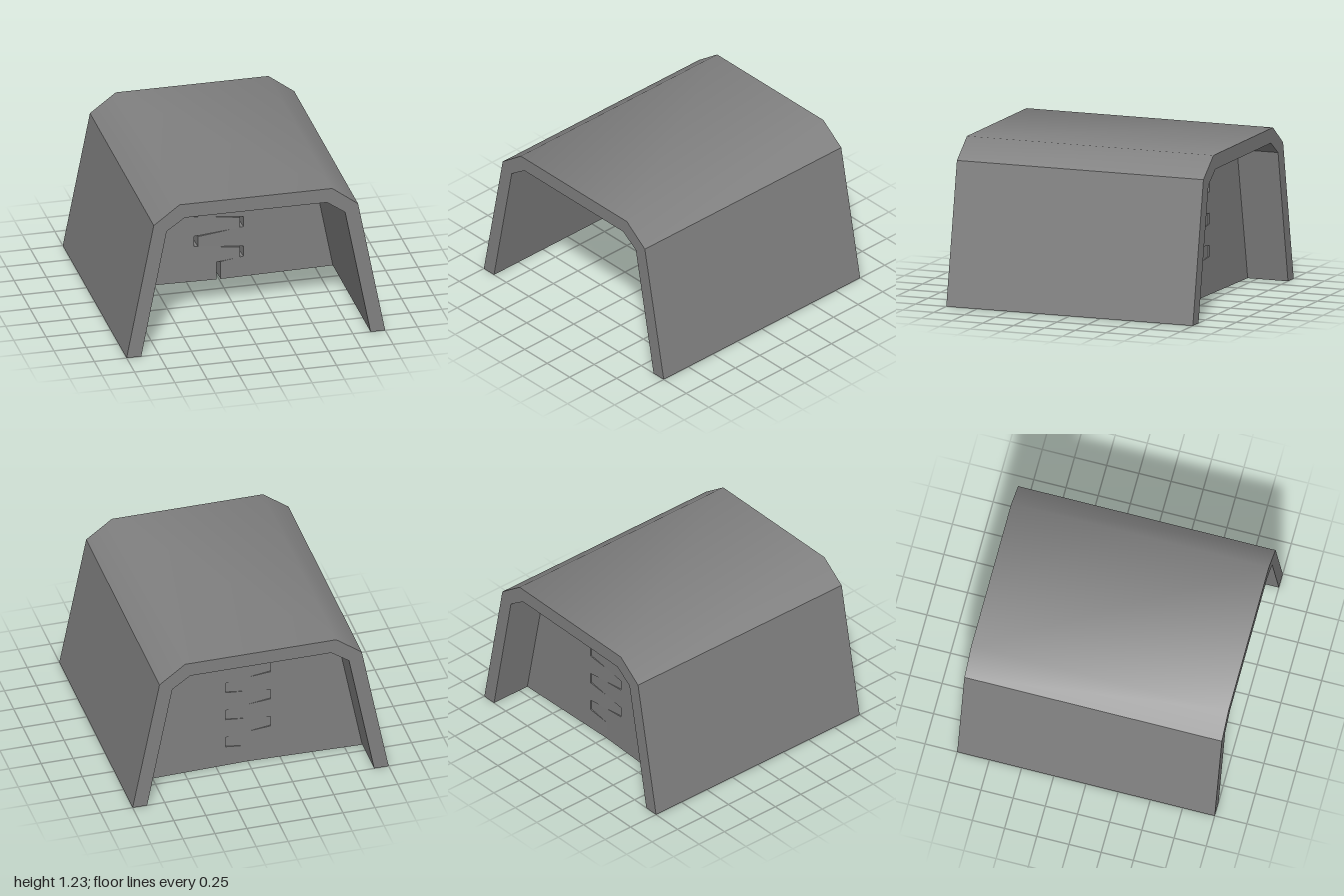
import * as THREE from 'three';
import { toCreasedNormals } from 'three/addons/utils/BufferGeometryUtils.js';

const material = new THREE.MeshStandardMaterial({ color: 0x808080 });

// Half profiles, from the floor up to the flat top
const OUTER = [[1, 0], [0.79, 1.08], [0.59, 1.23]];
const INNER = [[0.887, 0], [0.69, 1.02], [0.55, 1.118]];

const mirrorX = (points) => points.map(([x, y]) => [-x, y]);

function extrude(points, z0, z1) {
  const shape = new THREE.Shape(points.map(([x, y]) => new THREE.Vector2(x, y)));
  const geometry = new THREE.ExtrudeGeometry(shape, { depth: z1 - z0, bevelEnabled: false });
  return geometry.translate(0, 0, z0);
}

// Interlocking seam between the two door leaves, from top to bottom
function seamPath() {
  const path = [[-0.003, 1.13], [-0.003, 1.013]];
  for (let i = 0; i < 4; i++) {
    const y = 0.993 - i * 0.247;
    path.push([0.175, y], [0.175, y - 0.085]);
    if (i < 3) path.push([-0.178, y - 0.123], [-0.178, y - 0.207]);
  }
  path.push([-0.003, 0.145], [-0.003, 0]);
  return path;
}

export function createModel() {
  const group = new THREE.Group();

  // Tunnel shell: an arch open at both ends and below
  const arch = [...OUTER, ...mirrorX(OUTER).reverse(), ...mirrorX(INNER), ...INNER.slice().reverse()];
  const shell = new THREE.Mesh(toCreasedNormals(extrude(arch, -1, 1), 0.69), material);
  shell.name = 'tunnelShell';
  group.add(shell);

  // Door leaves, each turned slightly about its outer edge so the seam opens to the front
  const midZ = -0.425, halfDepth = 0.245, hinge = 0.79, tilt = 0.03, gap = 0.007;
  for (const side of [1, -1]) {
    // outer edge sunk a little into the shell
    const rim = INNER.map(([x, y], i) => [side * (x + 0.02), i === 2 ? 1.13 : y]);
    const seam = seamPath().map(([x, y]) => [x + side * gap, y]);
    const geometry = extrude([...rim, ...seam], -halfDepth, halfDepth);
    geometry.translate(-side * hinge, 0, 0);
    const leaf = new THREE.Mesh(geometry, material);
    leaf.name = side > 0 ? 'leftDoorLeaf' : 'rightDoorLeaf';
    leaf.position.set(side * hinge, 0, midZ);
    leaf.rotation.y = side * tilt;
    group.add(leaf);
  }
  return group;
}
